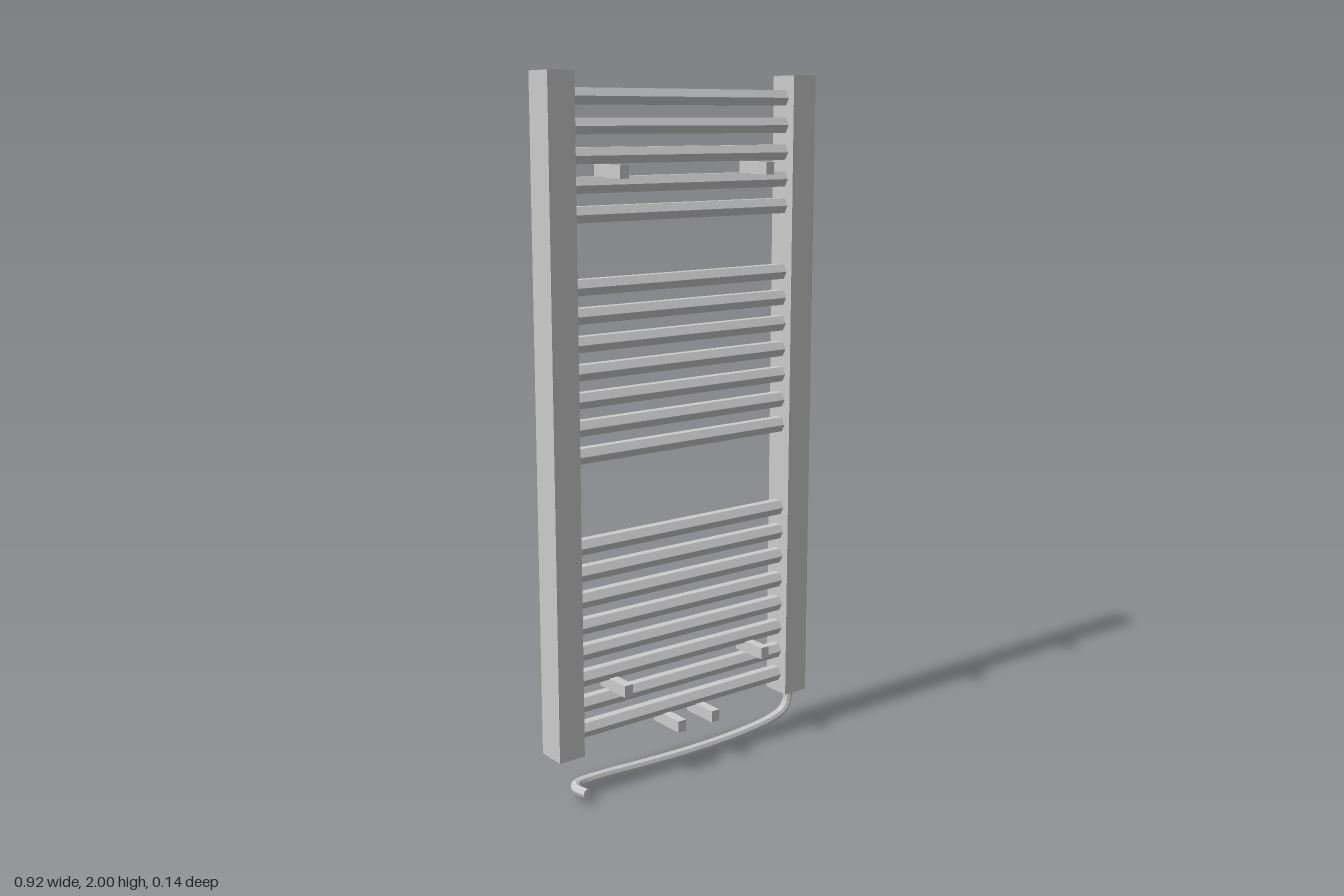
import * as THREE from 'three';

const material = new THREE.MeshStandardMaterial({ color: 0xcccccc, flatShading: true });

export function createModel() {
  const group = new THREE.Group();
  const add = (name, geometry, x = 0, y = 0, z = 0) => {
    const mesh = new THREE.Mesh(geometry, material);
    mesh.name = name;
    mesh.position.set(x, y, z);
    group.add(mesh);
    return mesh;
  };

  // Square uprights
  const post = new THREE.BoxGeometry(0.083, 1.88, 0.089);
  for (const s of [-1, 1]) add(s > 0 ? 'leftPost' : 'rightPost', post, s * 0.4165, 1.06, -0.0275);

  // Hexagonal rungs with a ridge on top, in three banks: [highest rung, count]
  const rung = new THREE.CylinderGeometry(0.025, 0.025, 0.764, 6);
  rung.rotateZ(Math.PI / 2);
  const pitch = 0.0768;
  for (const [top, count] of [[1.937, 5], [1.437, 7], [0.718, 8]]) {
    for (let i = 0; i < count; i++) add('rung', rung, 0, top - i * pitch, -0.029);
  }

  // Wall brackets and the pair of bottom connectors
  const bracket = new THREE.BoxGeometry(0.028, 0.035, 0.121);
  for (const s of [-1, 1]) {
    add('upperBracket', bracket, s * 0.252, 1.742, 0);
    add('lowerBracket', bracket, s * 0.252, 0.299, 0);
    add('bottomConnector', bracket, s * 0.062, 0.144, 0);
  }

  // Power cable hanging below the left post
  const path = new THREE.CatmullRomCurve3([
    [0.421, 0.125, -0.024], [0.421, 0.085, -0.024], [0.405, 0.055, -0.024], [0.36, 0.036, -0.024],
    [0.24, 0.02, -0.024], [0.05, 0.014, -0.024], [-0.15, 0.019, -0.024], [-0.28, 0.026, -0.022],
    [-0.375, 0.031, -0.012], [-0.405, 0.033, 0.008], [-0.409, 0.033, 0.035], [-0.402, 0.033, 0.067],
  ].map(p => new THREE.Vector3(...p)));
  const radius = 0.014;
  add('cable', new THREE.TubeGeometry(path, 40, radius, 8));

  // Closed cable tip
  const tip = add('cableTip', new THREE.CircleGeometry(radius, 8));
  tip.position.copy(path.getPoint(1));
  tip.lookAt(path.getPoint(1).add(path.getTangent(1)));

  return group;
}
